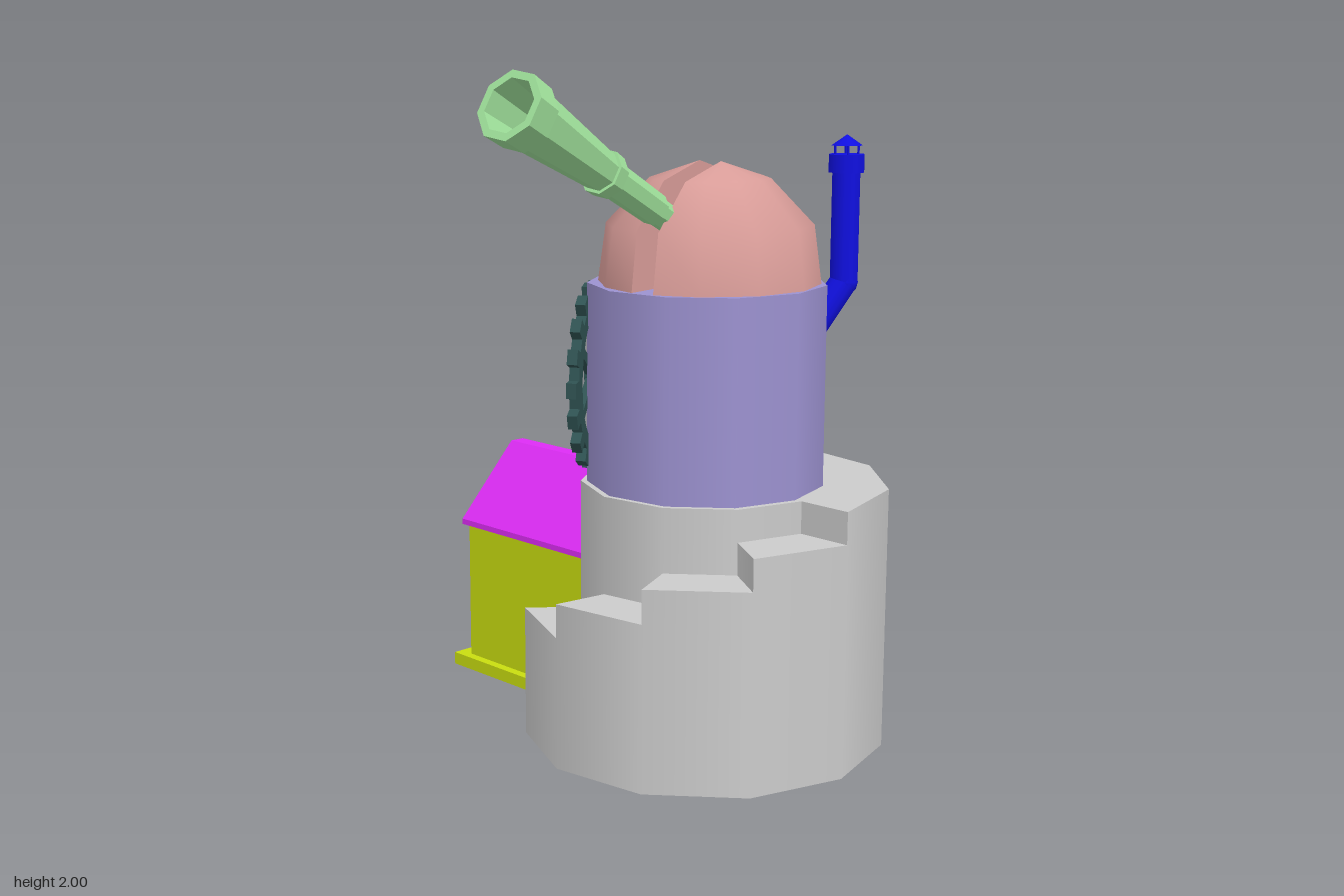
import * as THREE from 'three';

const mat = (color, extra = {}) => new THREE.MeshStandardMaterial({ color, ...extra });
const GREY = mat(0xcccccc), LAVENDER = mat(0x9c92d0), PINK = mat(0xd89c98), BLUE = mat(0x1010e0);
const GREEN = mat(0x9fe09a, { flatShading: true, side: THREE.DoubleSide });
const TEAL = mat(0x2f5252), YELLOW = mat(0xc8dc10), MAGENTA = mat(0xdd2cf5);
const CX = 0.229, CZ = -0.203, SIDES = 11, STEP = (Math.PI * 2) / SIDES;
const V = (x, y, z) => new THREE.Vector3(x, y, z);
const P = (x, y) => new THREE.Vector2(x, y);

function add(parent, name, geometry, material, x = 0, y = 0, z = 0) {
  const mesh = new THREE.Mesh(geometry, material);
  mesh.name = name;
  mesh.position.set(x, y, z);
  parent.add(mesh);
  return mesh;
}

function group(parent, name, x = 0, y = 0, z = 0) {
  const g = new THREE.Group();
  g.name = name;
  g.position.set(x, y, z);
  parent.add(g);
  return g;
}

// Upright prism with one corner on +x
const drum = (r, h) => new THREE.CylinderGeometry(r, r, h, SIDES, 1, false, Math.PI / 2);

// Pie slice from the axis out to two radii, with a smooth outer wall
function wedge(a0, r0, a1, r1, height) {
  const shape = new THREE.Shape([P(0, 0), P(r0 * Math.cos(a0), -r0 * Math.sin(a0)), P(r1 * Math.cos(a1), -r1 * Math.sin(a1))]);
  const geo = new THREE.ExtrudeGeometry(shape, { depth: height, bevelEnabled: false });
  geo.rotateX(-Math.PI / 2);
  const pos = geo.attributes.position, nor = geo.attributes.normal;
  for (let i = 0; i < pos.count; i++) {
    const radial = V(pos.getX(i), 0, pos.getZ(i)).normalize();
    const n = V(nor.getX(i), nor.getY(i), nor.getZ(i));
    if (radial.dot(n) > 0.5) nor.setXYZ(i, radial.x, 0, radial.z);
  }
  return geo;
}

// Base: five steps climbing around a core, then a landing that spirals inward
function buildBase(root) {
  const base = group(root, 'steppedBase', CX, 0.004, CZ);
  const heights = [0.69, 0.595, 0.495, 0.395, 0.295];
  const spiral = { 5: 0.37, 6: 0.4, 7: 0.464 };
  for (let i = 0; i < SIDES; i++) {
    const isStep = i < 5;
    const r0 = isStep ? 0.54 : spiral[i] ?? 0.54;
    const r1 = isStep ? 0.54 : spiral[i + 1] ?? 0.54;
    add(base, isStep ? 'step' : 'landing', wedge(i * STEP, r0, (i + 1) * STEP, r1, heights[i] ?? 0.785), GREY);
  }
  add(base, 'core', drum(0.372, 0.785), GREY, 0, 0.3925, 0);
}

// Dome: two half shells either side of a viewing slit
function buildDome(root) {
  const dome = group(root, 'dome', CX + 0.008, 1.38, CZ + 0.005);
  dome.rotation.y = 0.15;
  const gap = 0.037;
  const profile = [P(0.325, 0), P(0.302, 0.17), P(0.175, 0.302), P(0, 0.35)];
  const outline = [...profile, ...profile.slice(0, 3).reverse().map((p) => P(-p.x, p.y))];
  for (const turn of [0, Math.PI]) {
    const half = group(dome, 'domeHalf');
    half.rotation.y = turn;
    const shell = new THREE.LatheGeometry(profile, 6, 0, Math.PI);
    const pos = shell.attributes.position;
    for (let i = 0; i < pos.count; i++) pos.setX(i, Math.max(pos.getX(i), gap));
    shell.computeVertexNormals();
    add(half, 'domeShell', shell, PINK);
    const wall = new THREE.ShapeGeometry(new THREE.Shape(outline));
    add(half, 'slitWall', wall.rotateY(-Math.PI / 2), PINK, gap, 0, 0);
  }
}

// Telescope: eight-sided stepped tube with a hollow front end
function buildTelescope(root) {
  const start = V(0.259, 1.505, -0.13), end = V(0.384, 1.918, 0.69);
  const L = start.distanceTo(end);
  const profile = [
    P(0, 0), P(0.037, 0), P(0.04, 0.24), P(0.047, 0.24), P(0.05, 0.47), P(0.064, 0.47), P(0.066, 0.51),
    P(0.057, 0.51), P(0.084, L - 0.08), P(0.096, L - 0.08), P(0.099, L), P(0.077, L), P(0.05, 0.51), P(0, 0.51),
  ];
  const tube = add(root, 'telescope', new THREE.LatheGeometry(profile, 8, Math.PI / 8), GREEN);
  tube.position.copy(start);
  tube.quaternion.setFromUnitVectors(V(0, 1, 0), end.clone().sub(start).normalize());
}

// Gear wheel: toothed rim, six spokes and a hub
function buildGear(root) {
  const gear = group(root, 'gearWheel', -0.067, 1.09, -0.017);
  gear.rotation.y = -0.97;
  const rim = [], teeth = 18, pitch = (Math.PI * 2) / teeth, depth = 0.03;
  for (let i = 0; i < teeth; i++) {
    for (const [f, r] of [[-0.27, 0.24], [-0.23, 0.28], [0.23, 0.28], [0.27, 0.24]]) {
      const a = (i + f) * pitch;
      rim.push(P(r * Math.cos(a), r * Math.sin(a)));
    }
  }
  const shape = new THREE.Shape(rim);
  shape.holes.push(new THREE.Path().absarc(0, 0, 0.195, 0, Math.PI * 2, true));
  const opts = { depth, bevelEnabled: false, curveSegments: 18 };
  add(gear, 'gearRim', new THREE.ExtrudeGeometry(shape, opts), TEAL, 0, 0, -depth / 2);
  for (let i = 0; i < 3; i++) {
    add(gear, 'spokePair', new THREE.BoxGeometry(0.03, 0.41, 0.022), TEAL).rotation.z = (i * Math.PI) / 3;
  }
  add(gear, 'gearHub', new THREE.CylinderGeometry(0.04, 0.04, depth, 12).rotateX(Math.PI / 2), TEAL);
}

// Chimney pipe: slanted foot, upright pipe, collar, posts and a conical cover
function buildChimney(root, name, foot, elbow, topY, r) {
  const pipe = group(root, name);
  const strut = (part, a, b) => {
    const m = add(pipe, part, new THREE.CylinderGeometry(r, r, a.distanceTo(b), 10), BLUE);
    m.position.copy(a).add(b).multiplyScalar(0.5);
    m.quaternion.setFromUnitVectors(V(0, 1, 0), b.clone().sub(a).normalize());
  };
  const { x, z } = elbow;
  const collarY = topY - r * 2.6;
  strut('pipeFoot', foot, elbow);
  strut('pipe', elbow, V(x, collarY, z));
  add(pipe, 'elbow', new THREE.SphereGeometry(r, 10, 6), BLUE, x, elbow.y, z);
  add(pipe, 'collar', new THREE.CylinderGeometry(r * 1.27, r * 1.27, r * 1.25, 10), BLUE, x, collarY + r * 0.62, z);
  for (let i = 0; i < 4; i++) {
    const a = (i + 0.5) * Math.PI / 2;
    add(pipe, 'post', new THREE.BoxGeometry(r * 0.12, r * 0.8, r * 0.12), BLUE,
      x + Math.cos(a) * r * 0.8, topY - r * 1.0, z + Math.sin(a) * r * 0.8);
  }
  add(pipe, 'cover', new THREE.ConeGeometry(r * 1.1, r * 0.75, 10), BLUE, x, topY - r * 0.375, z);
}

// Prism along x from a (z, y) outline
function prismX(points, x0, x1) {
  const shape = new THREE.Shape(points.map(([z, y]) => P(-z, y)));
  const geo = new THREE.ExtrudeGeometry(shape, { depth: x1 - x0, bevelEnabled: false });
  return geo.rotateY(Math.PI / 2).translate(x0, 0, 0);
}

// House: floor slab, gabled walls and a roof with a flat ridge
function buildHouse(root) {
  const house = group(root, 'house');
  add(house, 'floor', new THREE.BoxGeometry(0.755, 0.04, 0.505), YELLOW, -0.3975, 0.02, -0.303);
  add(house, 'walls', prismX([[-0.53, 0.03], [-0.53, 0.5], [-0.32, 0.725], [-0.29, 0.725], [-0.08, 0.5], [-0.08, 0.03]], -0.725, -0.02), YELLOW);
  const roof = [[-0.55, 0.508], [-0.33, 0.74], [-0.28, 0.74], [-0.063, 0.508], [-0.063, 0.49], [-0.285, 0.72], [-0.325, 0.72], [-0.55, 0.49]];
  add(house, 'roof', prismX(roof, -0.74, -0.02), MAGENTA);
}

export function createModel() {
  const root = new THREE.Group();
  root.name = 'observatory';
  buildBase(root);
  add(root, 'tower', drum(0.35, 0.6), LAVENDER, CX + 0.001, 1.08, CZ + 0.005);
  buildDome(root);
  buildTelescope(root);
  buildGear(root);
  buildChimney(root, 'towerChimney', V(0.4, 1.22, -0.46), V(0.455, 1.37, -0.545), 1.8, 0.042);
  buildHouse(root);
  buildChimney(root, 'houseChimney', V(-0.56, 0.58, -0.43), V(-0.56, 0.66, -0.512), 0.93, 0.025);
  return root;
}
